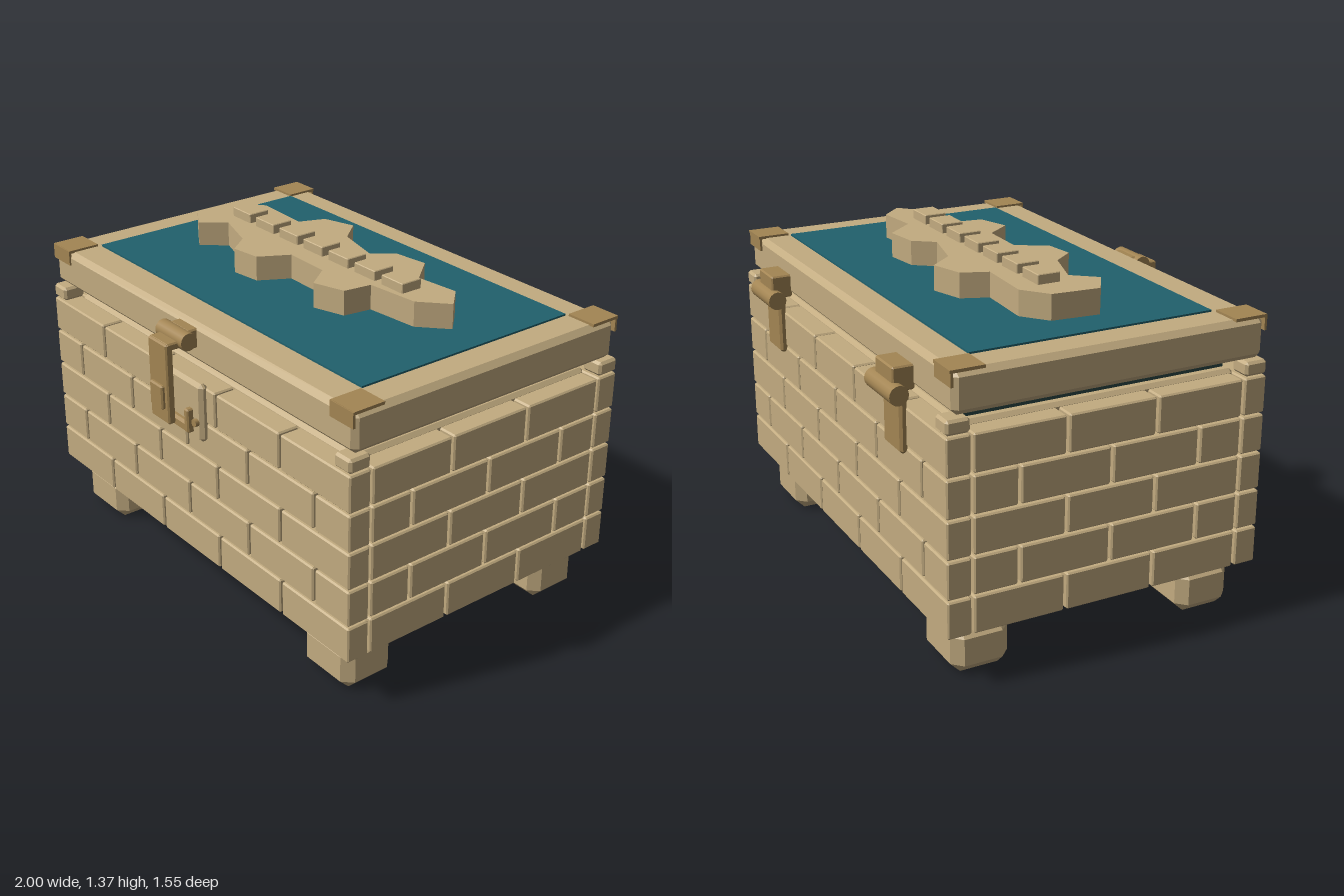
import * as THREE from 'three';
import { ConvexGeometry } from 'three/addons/geometries/ConvexGeometry.js';

const material = (name, color) => {
  const m = new THREE.MeshStandardMaterial({ color });
  m.name = name;
  return m;
};

// Box between two corners with every edge cut at 45 degrees
function bevelBox(min, max, c) {
  const points = [];
  for (const x of [0, 1]) for (const y of [0, 1]) for (const z of [0, 1]) {
    const side = [x, y, z];
    for (let flat = 0; flat < 3; flat++) {
      points.push(new THREE.Vector3(...side.map((s, i) => {
        const inset = i === flat ? 0 : c;
        return s ? max[i] - inset : min[i] + inset;
      })));
    }
  }
  return new ConvexGeometry(points);
}

export function createModel() {
  const tan = material('sandstone', 0xc2ab80);
  const bronze = material('bronze', 0xa38553);
  const teal = material('teal panel', 0x20616d);
  const dark = material('dark lining', 0x2a4644);

  const root = new THREE.Group();
  root.name = 'chest';
  const group = (name) => {
    const g = new THREE.Group();
    g.name = name;
    root.add(g);
    return g;
  };
  const add = (parent, name, geometry, mat) => {
    const mesh = new THREE.Mesh(geometry, mat);
    mesh.name = name;
    parent.add(mesh);
    return mesh;
  };
  const block = (parent, name, mat, x0, x1, y0, y1, z0, z1, c = 0.006) =>
    add(parent, name, bevelBox([x0, y0, z0], [x1, y1, z1], c), mat);
  const barX = (parent, name, r, length, x, y, z, mat = bronze) => {
    const geometry = new THREE.CylinderGeometry(r, r, length, 16);
    geometry.rotateZ(Math.PI / 2);
    add(parent, name, geometry, mat).position.set(x, y, z);
  };

  // Body core and dark lining below the lid
  const body = group('body');
  block(body, 'bodyCore', tan, -0.92, 0.92, 0.17, 1.0, -0.6, 0.55, 0.015);
  block(body, 'innerRim', dark, -0.88, 0.88, 0.98, 1.047, -0.575, 0.527, 0.004);

  // Brick courses, alternate rows shifted by half a brick
  const bricks = group('bricks');
  const course = (from, to, seams, place) => {
    const edges = [from, ...seams, to];
    for (let i = 0; i + 1 < edges.length; i++) {
      place(edges[i] + (i ? 0.006 : 0), edges[i + 1] - (i + 2 < edges.length ? 0.006 : 0));
    }
  };
  for (let row = 0; row < 5; row++) {
    const y0 = 0.21 + row * 0.1565, y1 = y0 + 0.148, odd = row % 2;
    const longSeams = odd ? [-0.8, -0.4, 0, 0.4, 0.8] : [-0.6, -0.2, 0.2, 0.6];
    const shortSeams = odd ? [-0.403, -0.026, 0.35] : [-0.212, 0.162];
    course(-1, 1, longSeams, (a, b) => {
      block(bricks, 'frontBrick', tan, a, b, y0, y1, 0.545, 0.64);
      block(bricks, 'backBrick', tan, a, b, y0, y1, -0.69, -0.595);
    });
    course(-0.584, 0.534, shortSeams, (a, b) => {
      for (const [x0, x1] of [[-1, -0.905], [0.905, 1]]) block(bricks, 'sideBrick', tan, x0, x1, y0, y1, a, b);
    });
  }

  // Feet and the small corner stones above the courses
  const feet = group('feet');
  const cornerStones = group('cornerStones');
  for (const s of [-1, 1]) {
    const span = (a, b) => s > 0 ? [a, b] : [-b, -a];
    for (const [z0, z1] of [[0.35, 0.585], [-0.63, -0.395]]) {
      block(feet, 'foot', tan, ...span(0.65, 0.93), 0, 0.19, z0, z1, 0.04);
    }
    for (const [z0, z1] of [[0.545, 0.64], [-0.69, -0.595]]) {
      block(cornerStones, 'cornerStone', tan, ...span(0.91, 1), 0.99, 1.047, z0, z1, 0.01);
    }
  }

  // Lid slab with its inset panel
  const lid = group('lid');
  block(lid, 'lidSlab', tan, -0.997, 0.997, 1.055, 1.217, -0.66, 0.62, 0.022);
  add(lid, 'lidPanel', new THREE.BoxGeometry(1.72, 0.009, 1.005), teal).position.set(0, 1.22, -0.028);

  // Folded metal caps on the lid corners
  for (const s of [-1, 1]) {
    for (const [z, flange] of [[0.555, 0.622], [-0.605, -0.664]]) {
      add(lid, 'cornerCapTop', new THREE.BoxGeometry(0.127, 0.012, 0.135), bronze).position.set(s * 0.934, 1.22, z);
      add(lid, 'cornerCapFlange', new THREE.BoxGeometry(0.127, 0.062, 0.01), bronze).position.set(s * 0.934, 1.194, flange);
    }
  }

  // Jagged raised emblem: [x, z] outline
  const outline = [
    [0.7, -0.095], [0.615, -0.185], [0.43, -0.165], [0.33, -0.285], [0.185, -0.265], [0.12, -0.18],
    [-0.085, -0.23], [-0.17, -0.333], [-0.305, -0.29], [-0.347, -0.183], [-0.595, -0.195], [-0.697, -0.115],
    [-0.715, 0.08], [-0.6, 0.153], [-0.52, 0.057], [-0.33, 0.12], [-0.26, 0.212], [-0.133, 0.195],
    [-0.065, 0.073], [0.14, 0.078], [0.22, 0.185], [0.353, 0.142], [0.37, 0.025], [0.593, 0.003],
  ];
  const emblem = group('emblem');
  const shape = new THREE.Shape(outline.map(([x, z]) => new THREE.Vector2(x, -z)));
  const slab = new THREE.ExtrudeGeometry(shape, { depth: 0.106, bevelEnabled: false });
  slab.rotateX(-Math.PI / 2);
  add(emblem, 'emblemSlab', slab, tan).position.y = 1.22;
  for (let i = 0; i < 7; i++) {
    const x = -0.517 + i * 0.161;
    block(emblem, 'emblemStud', tan, x - 0.061, x + 0.061, 1.32, 1.365, -0.105, -0.01, 0.003);
  }

  // Front latch: backplate, hinge pin, hanging strap and keeper
  const latch = group('latch');
  block(latch, 'latchPlate', tan, -0.147, 0.147, 0.76, 1.005, 0.63, 0.67, 0.015);
  barX(latch, 'latchPin', 0.036, 0.176, 0, 1.168, 0.672);
  block(latch, 'latchMount', bronze, -0.062, 0.062, 1.12, 1.2, 0.61, 0.66);
  block(latch, 'latchArm', bronze, -0.062, 0.062, 1.14, 1.17, 0.68, 0.755);
  block(latch, 'latchStrap', bronze, -0.062, 0.062, 0.835, 1.168, 0.728, 0.76);
  block(latch, 'latchBoss', bronze, -0.042, 0.042, 0.895, 0.995, 0.755, 0.775);
  block(latch, 'keeperBar', bronze, -0.09, 0.09, 0.788, 0.835, 0.665, 0.697, 0.01);
  for (const s of [-1, 1]) {
    block(latch, 'keeperPost', bronze, s * 0.08 - 0.014, s * 0.08 + 0.014, 0.79, 0.892, 0.665, 0.697);
    const bolt = new THREE.CylinderGeometry(0.016, 0.016, 0.02, 10);
    bolt.rotateX(Math.PI / 2);
    add(latch, 'latchBolt', bolt, bronze).position.set(s * 0.118, 0.843, 0.676);
  }

  // Rear hinges
  for (const s of [-1, 1]) {
    const hinge = group(s > 0 ? 'leftHinge' : 'rightHinge');
    const x = s * 0.608;
    barX(hinge, 'hingeBarrel', 0.038, 0.222, x, 1.05, -0.733);
    block(hinge, 'hingeUpperLeaf', bronze, x - 0.075, x + 0.075, 1.05, 1.145, -0.742, -0.655);
    block(hinge, 'hingeLowerLeaf', bronze, x - 0.075, x + 0.075, 0.81, 1.05, -0.716, -0.685, 0.01);
  }
  return root;
}
